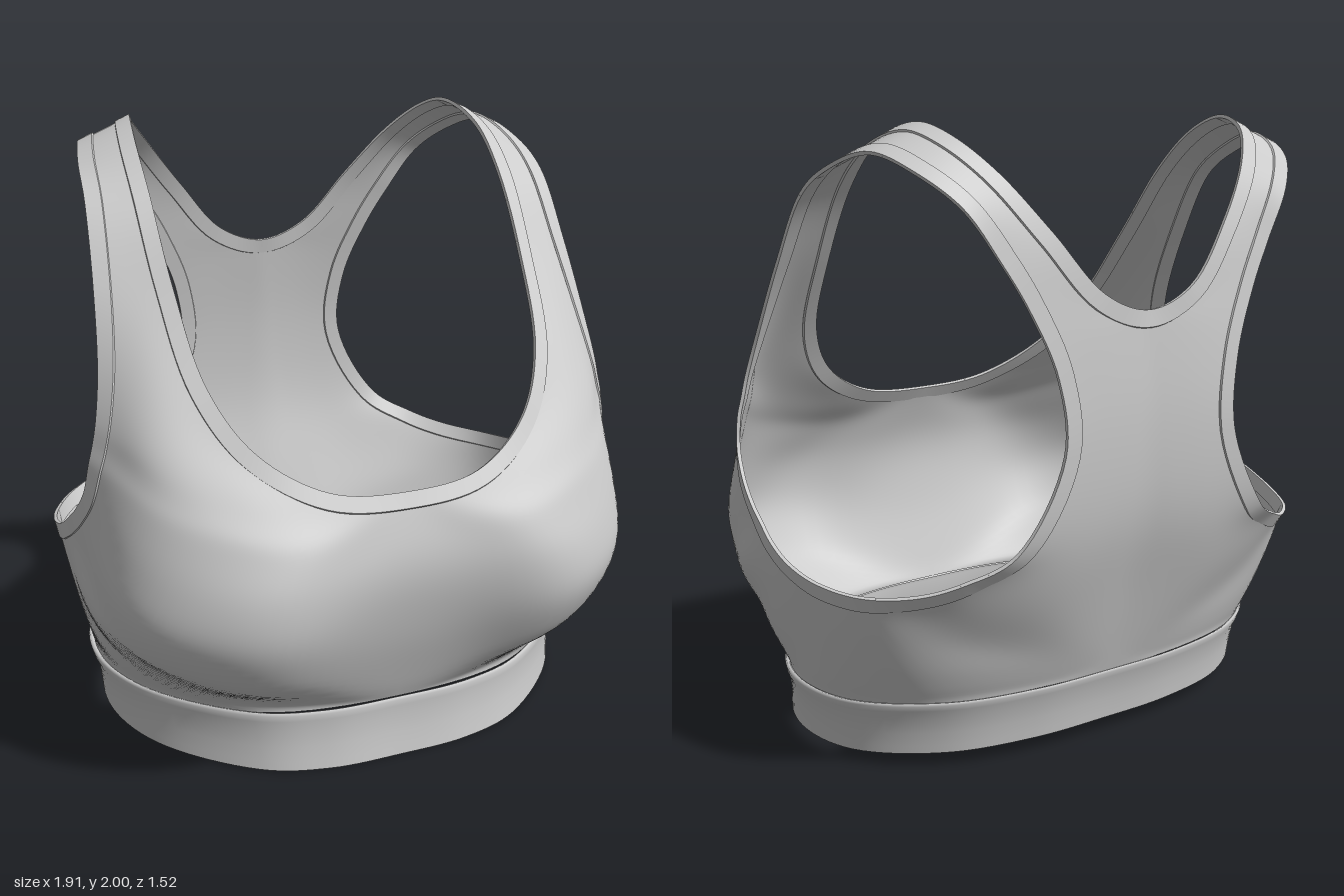
import * as THREE from 'three';
import { mergeGeometries, mergeVertices, toCreasedNormals } from 'three/addons/utils/BufferGeometryUtils.js';

const V = (p) => new THREE.Vector3(...p);
const material = new THREE.MeshStandardMaterial({ color: 0xcccccc, side: THREE.DoubleSide });

// Cross-sections of the left half, each running from the armhole edge outward.
// They go round the armhole: centre front, hem, centre back, then over the strap.
const centreFront = [
  [[.905, 1.04, .27], [.745, .92, .55], [.43, .84, .71], [.18, .88, .68], [0, .955, .64]],
  [[.92, .945, .25], [.8, .77, .56], [.49, .7, .755], [.2, .71, .72], [0, .72, .705]],
  [[.935, .865, .185], [.84, .62, .55], [.52, .54, .75], [.2, .5, .695], [0, .48, .675]],
];
const hem = [
  [[.945, .8, .1], [.86, .5, .46], [.57, .385, .655], [.27, .28, .62], [0, .2, .59]],
  [[.947, .75, .02], [.915, .5, .29], [.75, .33, .41], [.45, .2, .52]],
  [[.95, .705, -.07], [.925, .5, .08], [.87, .34, .18], [.76, .2, .25]],
  [[.945, .67, -.19], [.915, .5, -.15], [.885, .35, -.09], [.855, .21, -.02]],
  [[.915, .645, -.32], [.88, .5, -.32], [.845, .36, -.3], [.8, .22, -.28]],
  [[.84, .635, -.47], [.77, .5, -.48], [.68, .36, -.48], [.57, .23, -.475]],
];
const centreBack = [
  [[.72, .65, -.585], [.54, .5, -.585], [.27, .36, -.59], [0, .235, -.565]],
  [[.61, .69, -.66], [.3, .58, -.675], [0, .52, -.645]],
  [[.475, .77, -.73], [.23, .8, -.735], [0, .82, -.725]],
  [[.325, 1.05, -.755], [.155, 1.1, -.752], [0, 1.12, -.745]],
];
const neck = [
  [[.34, 1.28, -.74], [.165, 1.38, -.735], [0, 1.45, -.725]],
  [[.42, 1.48, -.71], [.165, 1.51, -.72]],
  [[.5, 1.62, -.685], [.32, 1.69, -.68]],
  [[.6, 1.77, -.65], [.455, 1.86, -.6]],
  [[.69, 1.865, -.55], [.54, 1.96, -.49]],
  [[.745, 1.915, -.39], [.575, 1.993, -.36]],
  [[.785, 1.87, -.21], [.605, 1.935, -.17]],
  [[.805, 1.78, -.05], [.61, 1.8, 0]],
  [[.825, 1.555, .1], [.6, 1.55, .2]],
  [[.85, 1.315, .22], [.72, 1.29, .34], [.56, 1.28, .4]],
  [[.875, 1.17, .265], [.73, 1.12, .45], [.45, 1.1, .53]],
  [[.89, 1.1, .27], [.73, 1.01, .51], [.5, .955, .62], [.25, .98, .62]],
];
const sections = [...centreFront, ...hem, ...centreBack, ...neck]
  .map((s) => new THREE.CatmullRomCurve3(s.map(V)));
const N = sections.length;
const hemStart = 3, backStart = 9, neckStart = 13;

// Curve around the armhole at a fixed v: one smooth loop blended, towards the
// outer edge, into four pieces that meet in the corners at the centre lines.
function ringAt(v) {
  const pts = sections.map((s) => s.getPointAt(v));
  const loop = new THREE.CatmullRomCurve3(pts, true);
  const ends = [0, hemStart, backStart, neckStart, N];
  const pieces = [0, 1, 2, 3].map((k) => {
    const list = [];
    for (let i = ends[k]; i <= ends[k + 1]; i++) list.push(pts[i % N]);
    if (k % 2) { // hem and neckline continue mirrored past the centre
      const mirror = (p, c) => new THREE.Vector3(2 * c.x - p.x, p.y, p.z);
      const n = list.length;
      const tail = mirror(list[n - 2], list[n - 1]);
      list.unshift(mirror(list[1], list[0]));
      list.push(tail);
    }
    return new THREE.CatmullRomCurve3(list);
  });
  return (u) => {
    let k = 0;
    while (k < 3 && u >= ends[k + 1]) k++;
    const pad = k % 2;
    const t = (u - ends[k] + pad) / (ends[k + 1] - ends[k] + 2 * pad);
    const p = loop.getPoint((u / N) % 1).lerp(pieces[k].getPoint(t), v * v);
    p.x = Math.max(0, p.x);
    return p;
  };
}

// Surface through rows of points
function loft(rows, closed) {
  const m = rows[0].length, index = [];
  const pos = rows.flatMap((r) => r.flatMap((p) => [p.x, p.y, p.z]));
  for (let i = 0; i < rows.length - (closed ? 0 : 1); i++) {
    for (let j = 0; j < m - 1; j++) {
      const a = i * m + j, c = ((i + 1) % rows.length) * m + j;
      index.push(a, a + 1, c, a + 1, c + 1, c);
    }
  }
  const g = new THREE.BufferGeometry();
  g.setAttribute('position', new THREE.Float32BufferAttribute(pos, 3));
  g.setIndex(index);
  return g;
}

// Left half plus its mirror image, welded along the centre
function bothSides(half) {
  const other = half.clone().scale(-1, 1, 1);
  other.setIndex([...other.index.array].reverse());
  const g = mergeVertices(mergeGeometries([half, other]), 1e-4);
  g.computeVertexNormals();
  return g;
}

// Relax the cloth without shrinking it, keeping the open edges in place
function relax(g, passes) {
  const pos = g.attributes.position, idx = g.index.array;
  const links = Array.from({ length: pos.count }, () => new Map());
  for (let i = 0; i < idx.length; i += 3) {
    for (let k = 0; k < 3; k++) {
      const a = idx[i + k], b = idx[i + (k + 1) % 3];
      links[a].set(b, (links[a].get(b) || 0) + 1);
      links[b].set(a, (links[b].get(a) || 0) + 1);
    }
  }
  const free = links.map((l) => [...l.values()].every((n) => n > 1));
  for (let pass = 0; pass < passes * 2; pass++) {
    const step = pass % 2 ? -.505 : .5;
    const old = pos.array.slice();
    links.forEach((l, i) => {
      if (!free[i]) return;
      for (let c = 0; c < 3; c++) {
        let sum = 0;
        for (const n of l.keys()) sum += old[n * 3 + c];
        pos.array[i * 3 + c] += step * (sum / l.size - old[i * 3 + c]);
      }
    });
  }
  g.computeVertexNormals();
  return g;
}

const STEPS = 8, ROWS = 28;

function bodyGeometry() {
  const rings = Array.from({ length: ROWS + 1 }, (_, j) => ringAt(j / ROWS));
  const rows = [];
  for (let i = 0; i < N * STEPS; i++) rows.push(rings.map((r) => r(i / STEPS)));
  return relax(bothSides(loft(rows, true)), 60);
}

// Flat binding sewn over an edge of the body
function trimGeometry(v, from, to, closed) {
  const width = .055, thick = .006;
  const edge = ringAt(v), inner = ringAt(v ? .96 : .04);
  const rows = [], count = (to - from) * STEPS;
  for (let i = 0; i < count + (closed ? 0 : 1); i++) {
    const u = Math.min(from + i / STEPS, to - 1e-6);
    const before = closed ? (u - .05 + N) % N : Math.max(from, u - .05);
    const after = closed ? (u + .05) % N : Math.min(to - 1e-6, u + .05);
    const p = edge(u);
    if (p.x < 1e-4) p.x = 0;
    const along = edge(after).sub(edge(before));
    if (p.x === 0) along.set(along.x, 0, 0);
    along.normalize();
    const inward = inner(u).sub(p);
    const normal = inward.clone().cross(along).multiplyScalar(v ? -1 : 1).normalize();
    const across = normal.clone().cross(along);
    if (across.dot(inward) < 0) across.negate();
    const at = (w, h) => p.clone().addScaledVector(across, w).addScaledVector(normal, h);
    rows.push([at(width, 0), at(width * .95, thick), at(0, thick), at(0, -thick),
      at(width * .95, -thick), at(width, 0)]);
  }
  return toCreasedNormals(bothSides(loft(rows, closed)), .7);
}

// Elastic band under the hem: rings of [height, flare]
function bandGeometry() {
  const half = [[0, .595], [.25, .585], [.47, .515], [.76, .25], [.855, -.02], [.8, -.28], [.57, -.475], [.28, -.55], [0, -.56]];
  const plan = [...half, ...half.slice(1, -1).reverse().map(([x, z]) => [-x, z])];
  const curve = new THREE.CatmullRomCurve3(plan.map(([x, z]) => new THREE.Vector3(x, 0, z)), true);
  const profile = [[.96, -.005], [1.02, .006], [1.03, .016], [.98, .021], [.88, .018], [.7, .006], [.4, .002], [.15, .005], [0, .007]];
  const rows = [];
  for (let i = 0; i < 128; i++) {
    const p = curve.getPoint(i / 128);
    const top = .217 - .03 * p.z;
    const bottom = Math.max(0, .027 - .045 * p.z);
    rows.push(profile.map(([h, flare]) => new THREE.Vector3(
      p.x * (1 + flare) * (1 - .025 * (1 - h)),
      bottom + (top - bottom) * h,
      p.z * (1 + flare) + .03 * (1 - h))));
  }
  const g = loft(rows, true);
  g.computeVertexNormals();
  return g;
}

export function createModel() {
  const group = new THREE.Group();
  group.name = 'sportsTop';
  const add = (name, geometry) => {
    const mesh = new THREE.Mesh(geometry, material);
    mesh.name = name;
    group.add(mesh);
  };
  add('body', bodyGeometry());
  add('armholeTrims', trimGeometry(0, 0, N, true));
  add('necklineTrim', trimGeometry(1, neckStart, N, false));
  add('underBand', bandGeometry());
  return group;
}
